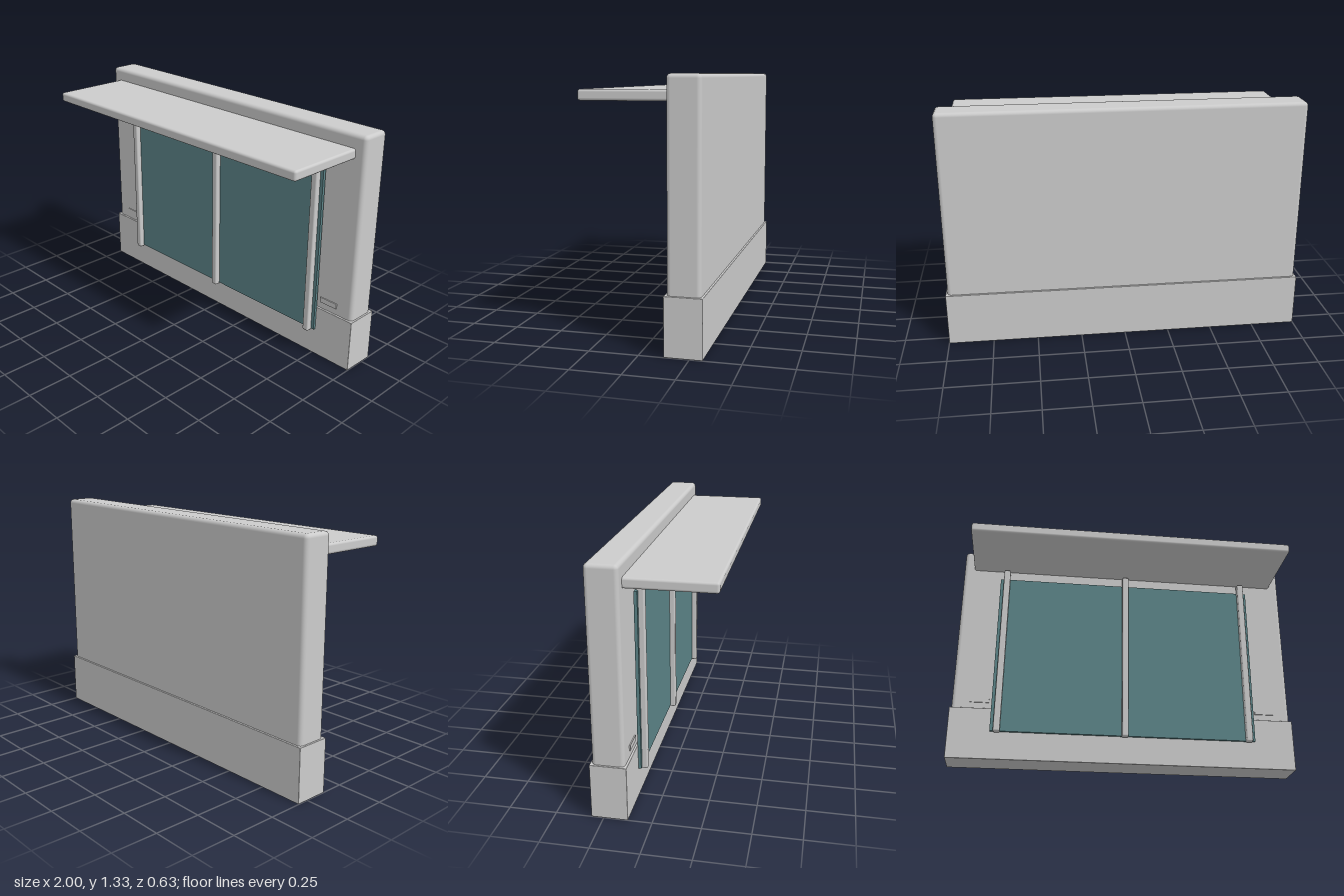
import * as THREE from 'three';
import { RoundedBoxGeometry } from 'three/addons/geometries/RoundedBoxGeometry.js';

const grey = new THREE.MeshStandardMaterial({ color: 0xcccccc });
const teal = new THREE.MeshStandardMaterial({ color: 0x5c8488 });

export function createModel() {
  const group = new THREE.Group();

  // Box between two corners; a radius rounds its edges
  function box(name, [x0, y0, z0], [x1, y1, z1], radius = 0, material = grey) {
    const size = [x1 - x0, y1 - y0, z1 - z0];
    const geometry = radius
      ? new RoundedBoxGeometry(...size, 2, radius)
      : new THREE.BoxGeometry(...size);
    const mesh = new THREE.Mesh(geometry, material);
    mesh.name = name;
    mesh.position.set((x0 + x1) / 2, (y0 + y1) / 2, (z0 + z1) / 2);
    group.add(mesh);
  }

  // Plinth and the wall standing in it
  box('base', [-1, 0, -0.314], [1, 0.298, -0.124], 0.003);
  box('wall', [-0.99, 0.26, -0.303], [0.99, 1.328, -0.136], 0.022);

  // Canopy over the window
  box('canopy', [-0.93, 1.2, -0.16], [0.93, 1.254, 0.314], 0.013);

  // Window pane with three upright bars
  box('windowPane', [-0.765, 0.16, -0.126], [0.765, 1.134, -0.109], 0, teal);
  for (const x of [-0.727, 0, 0.727]) {
    box('windowBar', [x - 0.019, 0.152, -0.119], [x + 0.019, 1.184, -0.079], 0.008);
  }

  // Small raised plates on the wall beside the window
  for (const x of [-0.835, 0.835]) {
    box('wallPlate', [x - 0.055, 0.335, -0.14], [x + 0.055, 0.365, -0.13]);
  }

  return group;
}
